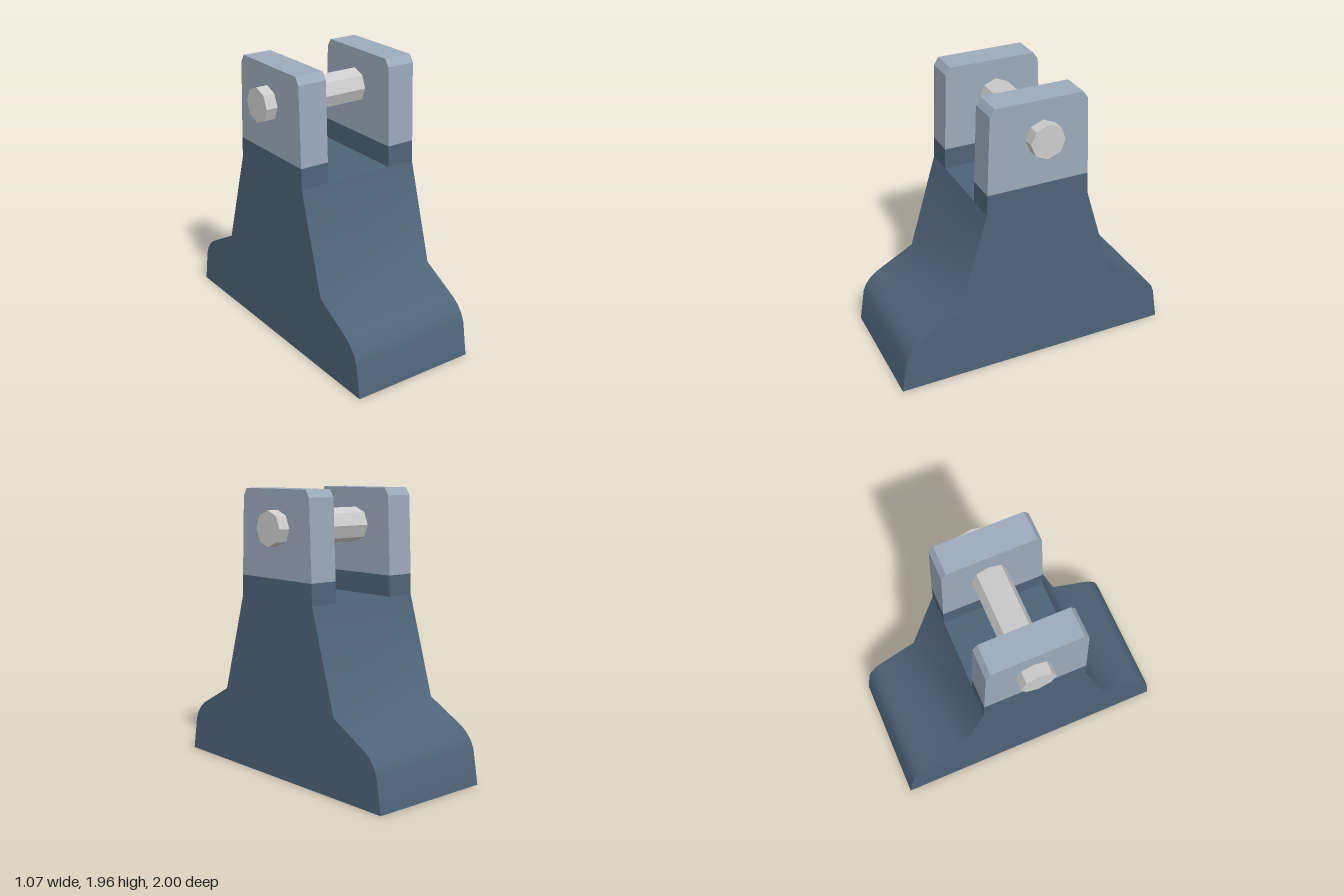
import * as THREE from 'three';
import { toCreasedNormals } from 'three/addons/utils/BufferGeometryUtils.js';

const material = (name, color, flatShading = false) => {
  const m = new THREE.MeshStandardMaterial({ color, flatShading });
  m.name = name;
  return m;
};

// Extrudes a symmetric side profile, given as [z, y] of its front half from
// bottom to top, across the width in x.
function slab(half, width) {
  const back = half.map(([z, y]) => [-z, y]).reverse();
  const shape = new THREE.Shape([...half, ...back].map(([z, y]) => new THREE.Vector2(z, y)));
  const geo = new THREE.ExtrudeGeometry(shape, { depth: width, bevelEnabled: false });
  geo.translate(0, 0, -width / 2).rotateY(-Math.PI / 2);
  return toCreasedNormals(geo, 0.9);
}

export function createModel() {
  const group = new THREE.Group();
  const bodyBlue = material('slate blue', 0x4e6378);
  const lugBlue = material('pale blue grey', 0x9caabb, true);
  const pinGrey = material('light grey', 0xcccccc, true);

  const add = (name, geo, mat, x = 0, y = 0, z = 0) => {
    const mesh = new THREE.Mesh(geo, mat);
    mesh.name = name;
    mesh.position.set(x, y, z);
    group.add(mesh);
  };

  // Flared foot and tapering column
  const outer = 0.453, inner = 0.247, slotY = 1.22, splitY = 1.365;
  add('body', slab([
    [1, 0], [0.96, 0.235], [0.938, 0.288], [0.9, 0.337], [0.853, 0.375],
    [0.57, 0.53], [0.364, slotY],
  ], outer * 2), bodyBlue);

  // Fork: dark roots and pale lugs with clipped top corners
  const width = outer - inner, mid = (outer + inner) / 2;
  const root = slab([[0.364, slotY], [0.36, splitY]], width);
  const lug = slab([[0.36, splitY], [0.338, 1.905], [0.305, 1.955]], width);
  for (const [side, s] of [['left', 1], ['right', -1]]) {
    add(side + 'ForkRoot', root, bodyBlue, s * mid);
    add(side + 'Lug', lug, lugBlue, s * mid);
  }

  // Eight-sided cross pin
  const pin = new THREE.CylinderGeometry(0.12, 0.12, 1.07, 8).rotateZ(Math.PI / 2);
  add('crossPin', pin, pinGrey, 0, 1.7, -0.023);
  return group;
}
